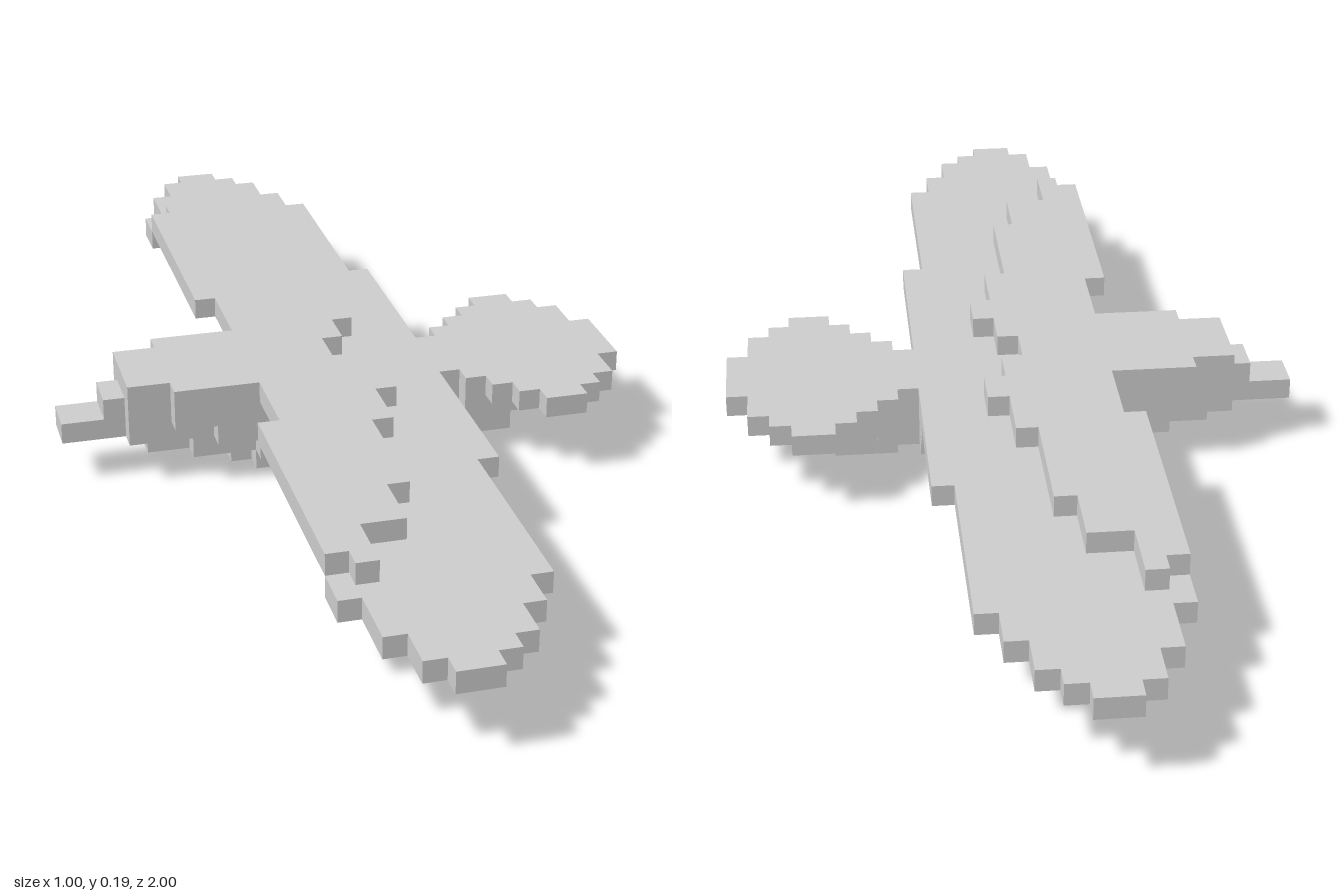
import * as THREE from 'three';

const U = 1 / 27; // one block

// A stepped slab one block thick, mirrored in z.
// Rows run from the centre line outwards: [outer z, first x, last x] in blocks.
function slab(name, level, rows, material) {
  const nose = [], rear = [];
  let z = 0;
  for (const [outer, x0, x1] of rows) {
    nose.push([x0, z], [x0, outer]);
    rear.push([x1, z], [x1, outer]);
    z = outer;
  }
  const half = [...rear, ...nose.reverse()]; // rear edge out, nose edge back in
  const flip = half.map(([x, d]) => [x, -d]);
  const n = rear.length;
  const loop = [...half, ...flip.slice(n).reverse(), ...flip.slice(0, n).reverse()];
  const points = loop
    .filter(([x, d], i) => {
      const [px, pd] = loop[(i + loop.length - 1) % loop.length];
      return x !== px || d !== pd;
    })
    .map(([x, d]) => new THREE.Vector2(x * U - 0.5, d * U));
  const geometry = new THREE.ExtrudeGeometry(new THREE.Shape(points), { depth: U, bevelEnabled: false });
  geometry.rotateX(-Math.PI / 2);
  geometry.translate(0, level * U, 0);
  const mesh = new THREE.Mesh(geometry, material);
  mesh.name = name;
  return mesh;
}

export function createModel() {
  const group = new THREE.Group();
  group.name = 'blockBird';
  const grey = new THREE.MeshStandardMaterial({ color: 0xcccccc, flatShading: true });
  const add = (name, level, rows) => group.add(slab(name, level, rows, grey));

  // Belly and feet
  add('belly', 0, [[1, 8, 16], [2, 9, 14]]);
  add('feet', 0, [[1, 19, 22]]);

  // Body, with the beak at its nose end
  add('lowerBody', 1, [[1, 4, 21], [2, 6, 20], [3, 9, 18]]);
  add('bodyAndBeak', 2, [[1, 0, 18], [2, 3, 18], [3, 7, 18], [4, 12, 18]]);

  // Tail fan and its thicker root
  add('tailRoot', 2, [[2, 18, 24], [3, 19, 23]]);
  add('tailFan', 3, [[2, 18, 27], [3, 19, 26], [4, 20, 26], [5, 21, 25], [6, 22, 24]]);

  // Main wing layer, running through the head
  add('wings', 3, [
    [1, 2, 18], [2, 3, 18], [3, 5, 18], [11, 11, 18], [14, 11, 17], [17, 10, 17], [19, 9, 17],
    [21, 8, 17], [23, 9, 16], [24, 9, 15], [25, 10, 15], [26, 10, 14], [27, 11, 13],
  ]);

  // Raised leading edge of the wings and top of the head
  add('wingLeadingEdge', 4, [
    [1, 3, 13], [2, 3, 14], [3, 5, 14], [5, 9, 15], [7, 9, 14], [8, 8, 14],
    [14, 8, 13], [17, 8, 12], [19, 8, 10], [20, 9, 10],
  ]);

  return group;
}
